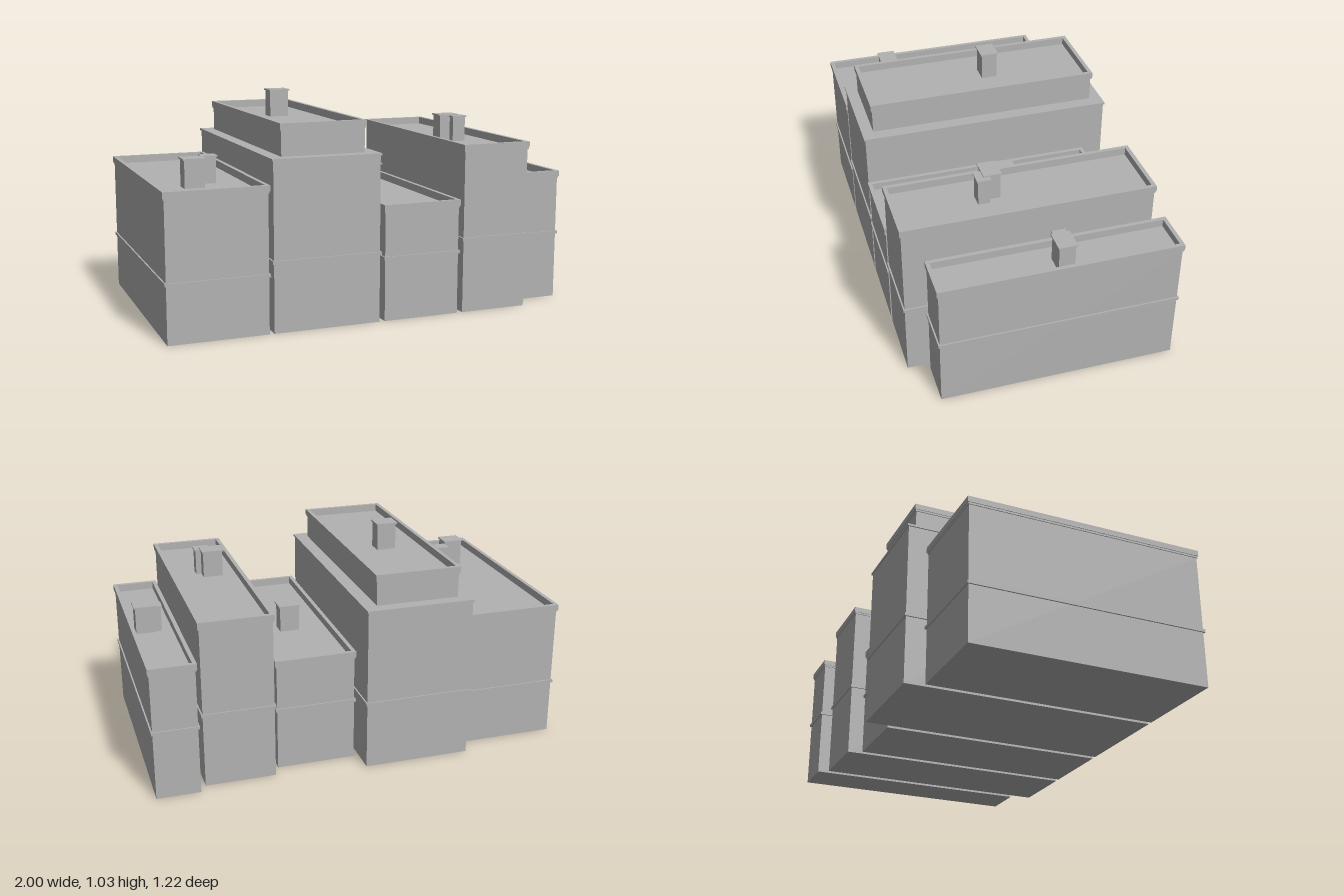
import * as THREE from 'three';

const stone = new THREE.MeshStandardMaterial({ color: 0xb2b2b2 });
stone.name = 'stone grey';

// Footprint [x0, x1, z0, z1], grown outwards by d
const grow = ([x0, x1, z0, z1], d) => [x0 - d, x1 + d, z0 - d, z1 + d];

// Block standing on a footprint between two heights
function block(name, [x0, x1, z0, z1], y0, y1) {
  const mesh = new THREE.Mesh(new THREE.BoxGeometry(x1 - x0, y1 - y0, z1 - z0), stone);
  mesh.position.set((x0 + x1) / 2, (y0 + y1) / 2, (z0 + z1) / 2);
  mesh.name = name;
  return mesh;
}

// Rectangular ring around a footprint, open over the roof
function ring(name, outer, inner, y0, y1) {
  const corners = ([x0, x1, z0, z1]) => [[x0, -z1], [x1, -z1], [x1, -z0], [x0, -z0]]
    .map(([x, y]) => new THREE.Vector2(x, y));
  const shape = new THREE.Shape(corners(outer));
  shape.holes.push(new THREE.Path(corners(inner).reverse()));
  const geometry = new THREE.ExtrudeGeometry(shape, { depth: y1 - y0, bevelEnabled: false });
  geometry.rotateX(-Math.PI / 2);
  const mesh = new THREE.Mesh(geometry, stone);
  mesh.position.y = y0;
  mesh.name = name;
  return mesh;
}

// Wall block crowned by a small moulding and a raised parapet
function addTier(group, name, foot, y0, top) {
  const deck = top - 0.036;
  const inner = grow(foot, -0.012);
  group.add(
    block(name, foot, y0, deck),
    ring('cornice', grow(foot, 0.004), inner, deck, top - 0.027),
    ring('parapet', grow(foot, 0.007), inner, top - 0.027, top),
  );
  return deck;
}

// Chimney with a thin overhanging cap
function addChimney(group, foot, y0, top) {
  group.add(
    block('chimney', grow(foot, -0.006), y0, top - 0.007),
    block('chimneyCap', foot, top - 0.007, top),
  );
}

const buildings = [
  {
    name: 'leftEndBuilding', foot: [-0.993, -0.533, -0.518, 0.602], top: 0.67, band: 0.268,
    chimneys: [[-0.85, -0.745, 0.28, 0.37, 0.768], [-0.738, -0.665, 0.198, 0.265, 0.763]],
  },
  {
    name: 'tallBuilding', foot: [-0.51, -0.003, -0.608, 0.602], top: 0.783, band: 0.324,
    upper: { foot: [-0.456, -0.06, -0.555, 0.552], top: 0.931 },
    chimneys: [[-0.317, -0.213, -0.12, -0.033, 1.027]],
  },
  {
    name: 'lowBuilding', foot: [0.023, 0.396, -0.493, 0.602], top: 0.545, band: 0.297,
    chimneys: [[0.163, 0.27, -0.08, 0.006, 0.64]],
  },
  {
    name: 'narrowTallBuilding', foot: [0.424, 0.755, -0.558, 0.602], top: 0.8, band: 0.353,
    chimneys: [[0.496, 0.602, 0.107, 0.193, 0.895], [0.55, 0.628, 0.163, 0.228, 0.89]],
  },
  {
    name: 'rightEndBuilding', foot: [0.785, 0.988, -0.607, 0.502], top: 0.633, band: 0.325,
    chimneys: [[0.867, 0.973, -0.118, -0.031, 0.729], [0.84, 0.91, -0.107, -0.043, 0.722]],
  },
];

export function createModel() {
  const model = new THREE.Group();
  model.name = 'buildingRow';

  for (const { name, foot, top, band, upper, chimneys } of buildings) {
    const group = new THREE.Group();
    group.name = name;
    model.add(group);

    let deck;
    if (upper) {
      // Flat ledge with a set-back storey above it
      group.add(block('walls', foot, 0, top - 0.01), block('ledge', grow(foot, 0.006), top - 0.01, top));
      deck = addTier(group, 'upperStorey', upper.foot, top, upper.top);
    } else {
      deck = addTier(group, 'walls', foot, 0, top);
    }

    // Band course between the lower and upper floors
    group.add(ring('bandCourse', grow(foot, 0.007), grow(foot, -0.005), band - 0.007, band + 0.007));

    for (const [x0, x1, z0, z1, y1] of chimneys) addChimney(group, [x0, x1, z0, z1], deck, y1);
  }
  return model;
}
